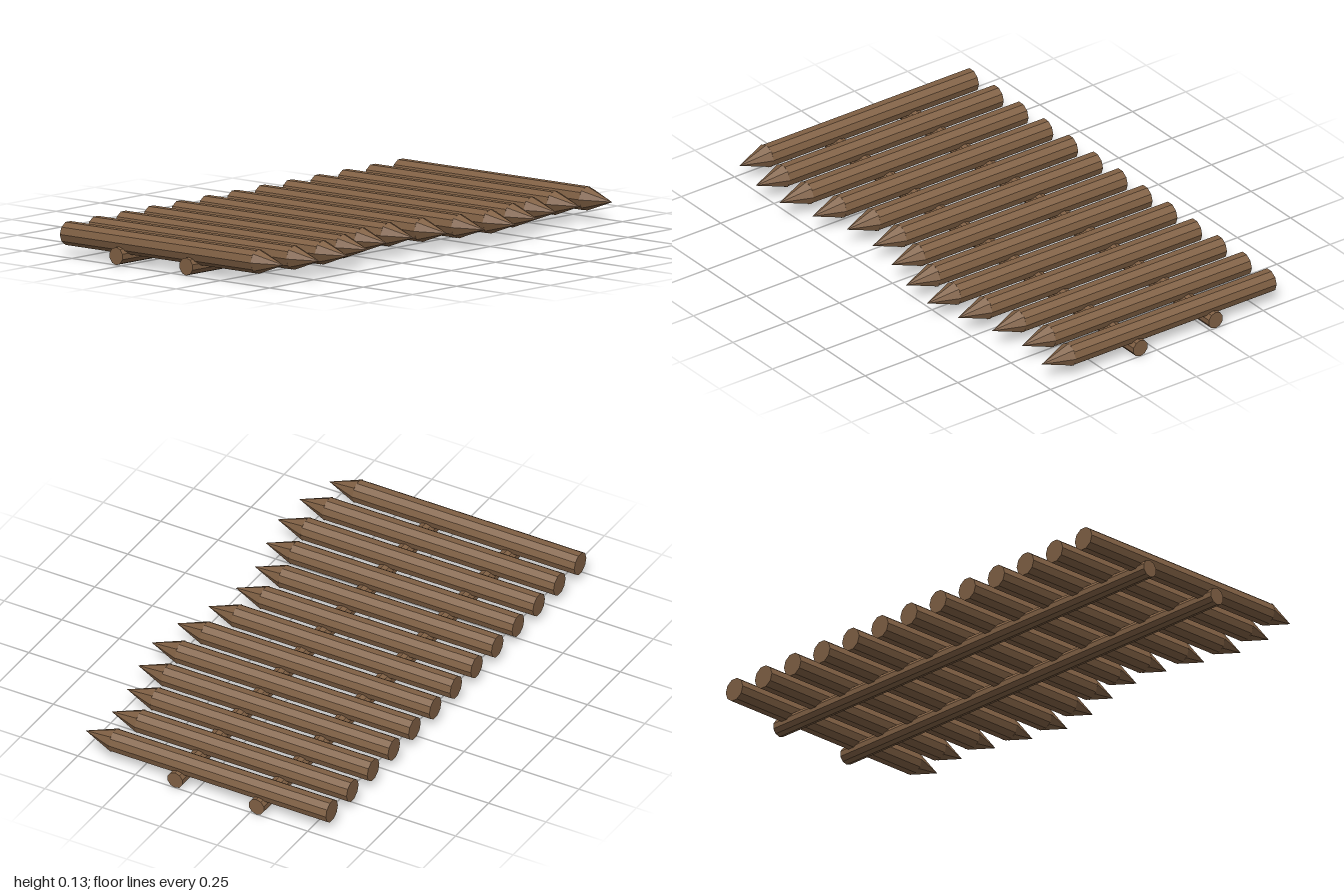
import * as THREE from 'three';

export function createModel() {
  const model = new THREE.Group();
  const wood = new THREE.MeshStandardMaterial({ color: 0x80613f, flatShading: true });
  wood.name = 'brown wood';
  wood.color.set(0x806044);

  const add = (name, geometry, x, y, z, parent = model) => {
    const mesh = new THREE.Mesh(geometry, wood);
    mesh.name = name;
    mesh.position.set(x, y, z);
    parent.add(mesh);
    return mesh;
  };

  // Two cross rails resting on the ground
  const railR = 0.034;
  for (const [name, z] of [['frontRail', 0.077], ['backRail', -0.277]]) {
    const rail = new THREE.CylinderGeometry(railR, railR, 2, 10);
    rail.rotateY(Math.PI / 10).rotateZ(Math.PI / 2);
    add(name, rail, 0, railR, z);
  }

  // Thirteen sharpened stakes of uneven length lying across the rails
  const tips = [0.52, 0.56, 0.565, 0.527, 0.483, 0.477, 0.506, 0.553, 0.572, 0.542, 0.499, 0.476, 0.499];
  const stakeR = 0.046, tipLength = 0.127, back = -0.572;
  tips.forEach((tip, i) => {
    const stake = new THREE.Group();
    stake.name = 'stake' + (i + 1);
    stake.position.set((i - 6) * 0.157, 0.082, 0);

    // Log with a flat side up
    const end = tip - tipLength;
    const log = new THREE.CylinderGeometry(stakeR, stakeR, end - back, 10);
    log.rotateY(Math.PI / 10).rotateX(Math.PI / 2);
    add('log', log, 0, 0, (end + back) / 2, stake);

    // Pointed end with a ridge up
    const point = new THREE.ConeGeometry(stakeR + 0.001, tipLength, 8);
    point.rotateX(Math.PI / 2);
    add('point', point, 0, 0, end + tipLength / 2, stake);
    model.add(stake);
  });

  return model;
}
